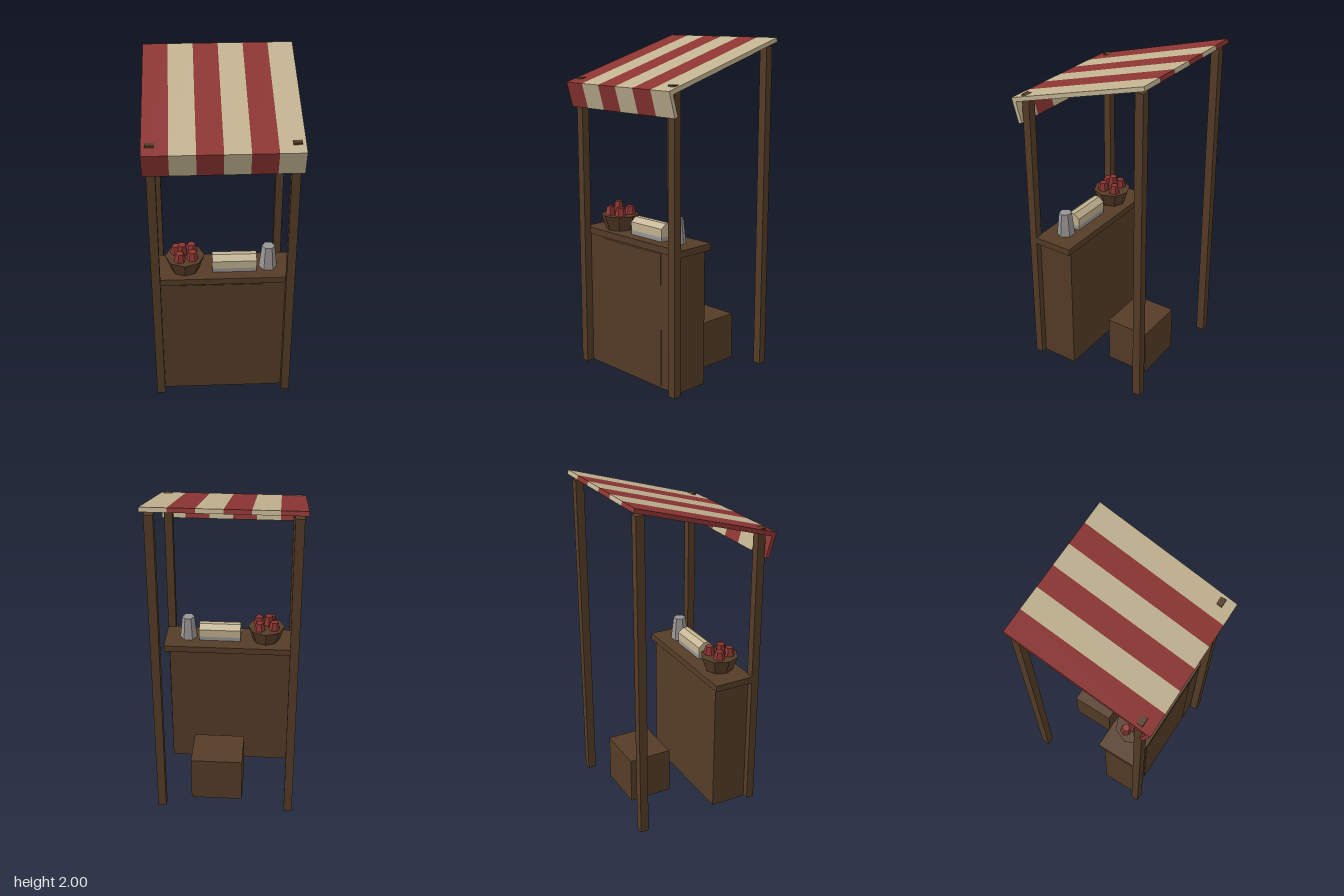
import * as THREE from 'three';

const mat = (name, color) => {
  const m = new THREE.MeshStandardMaterial({ color });
  m.name = name;
  return m;
};

export function createModel() {
  const model = new THREE.Group();
  model.name = 'marketStall';
  const wood = mat('wood', 0x553c27);
  const red = mat('red', 0x8c3532);
  const cream = mat('cream', 0xc2b391);
  const grey = mat('grey', 0x989694);

  const add = (name, geometry, material, x = 0, y = 0, z = 0, parent = model) => {
    const mesh = new THREE.Mesh(geometry, material);
    mesh.name = name;
    mesh.position.set(x, y, z);
    parent.add(mesh);
    return mesh;
  };
  // Box given by its limits on each axis
  const box = (name, material, x0, x1, y0, y1, z0, z1) =>
    add(name, new THREE.BoxGeometry(x1 - x0, y1 - y0, z1 - z0), material,
      (x0 + x1) / 2, (y0 + y1) / 2, (z0 + z1) / 2);
  // Faceted tapered cylinder standing on y
  const tub = (name, material, rTop, rBottom, h, sides, x, y, z, turn = 0) => {
    const g = new THREE.CylinderGeometry(rTop, rBottom, h, sides).toNonIndexed();
    g.computeVertexNormals();
    g.rotateY(turn);
    return add(name, g, material, x, y + h / 2, z);
  };
  // Profile of [z, y] points extruded from x0 to x1
  const extrudeX = (name, material, points, x0, x1) => {
    const shape = new THREE.Shape(points.map(([z, y]) => new THREE.Vector2(-z, y)));
    const g = new THREE.ExtrudeGeometry(shape, { depth: x1 - x0, bevelEnabled: false });
    g.rotateY(Math.PI / 2);
    return add(name, g, material, x0, 0, 0);
  };

  // Posts; the front pair pokes through the awning
  for (const s of [-1, 1]) {
    const a = s < 0 ? -0.415 : 0.365;
    box('frontPost', wood, a, a + 0.05, 0, 1.77, 0.328, 0.376);
    box('backPost', wood, a, a + 0.05, 0, 1.95, -0.415, -0.365);
  }

  // Counter: four panels, open underneath, with a top board
  box('counterFront', wood, -0.38, 0.38, 0, 0.82, 0.305, 0.325);
  box('counterFrontPanel', wood, -0.254, 0.254, 0.015, 0.81, 0.325, 0.328);
  box('counterBack', wood, -0.38, 0.38, 0, 0.82, 0.1, 0.12);
  for (const s of [-1, 1]) {
    box('counterSide', wood, s * 0.37 - 0.01, s * 0.37 + 0.01, 0, 0.82, 0.12, 0.305);
  }
  box('counterTop', wood, -0.415, 0.415, 0.82, 0.86, 0.085, 0.335);

  // Crate behind the counter
  box('crate', wood, -0.1, 0.215, 0, 0.29, -0.325, -0.057);

  // Striped awning with a folded front flap
  const awning = [[-0.43, 2.0], [-0.437, 1.976], [0.405, 1.724], [0.37, 1.603],
    [0.393, 1.596], [0.435, 1.742]];
  for (let i = 0; i < 6; i++) {
    const x = -0.435 + i * 0.145;
    extrudeX('awningStripe', i % 2 ? cream : red, awning, x, x + 0.145);
  }

  // Basket of fruit
  tub('basket', wood, 0.116, 0.084, 0.09, 8, -0.22, 0.86, 0.217);
  for (const [x, z] of [[-0.05, -0.03], [-0.03, 0.05], [0.045, 0.035], [0.04, -0.045]]) {
    tub('fruit', red, 0.024, 0.036, 0.055, 6, -0.22 + x, 0.945, 0.217 + z, x * 9);
  }
  tub('topFruit', red, 0.025, 0.034, 0.06, 6, -0.235, 0.967, 0.217);

  // Tray with a sloped pale loaf
  box('tray', grey, -0.06, 0.2, 0.86, 0.886, 0.17, 0.27);
  extrudeX('loaf', cream, [[0.27, 0.886], [0.27, 0.935], [0.235, 0.962], [0.205, 0.962],
    [0.17, 0.935], [0.17, 0.886]].reverse(), -0.06, 0.2);

  // Metal cup
  tub('cup', grey, 0.038, 0.054, 0.145, 6, 0.27, 0.86, 0.215, Math.PI / 6);

  return model;
}
